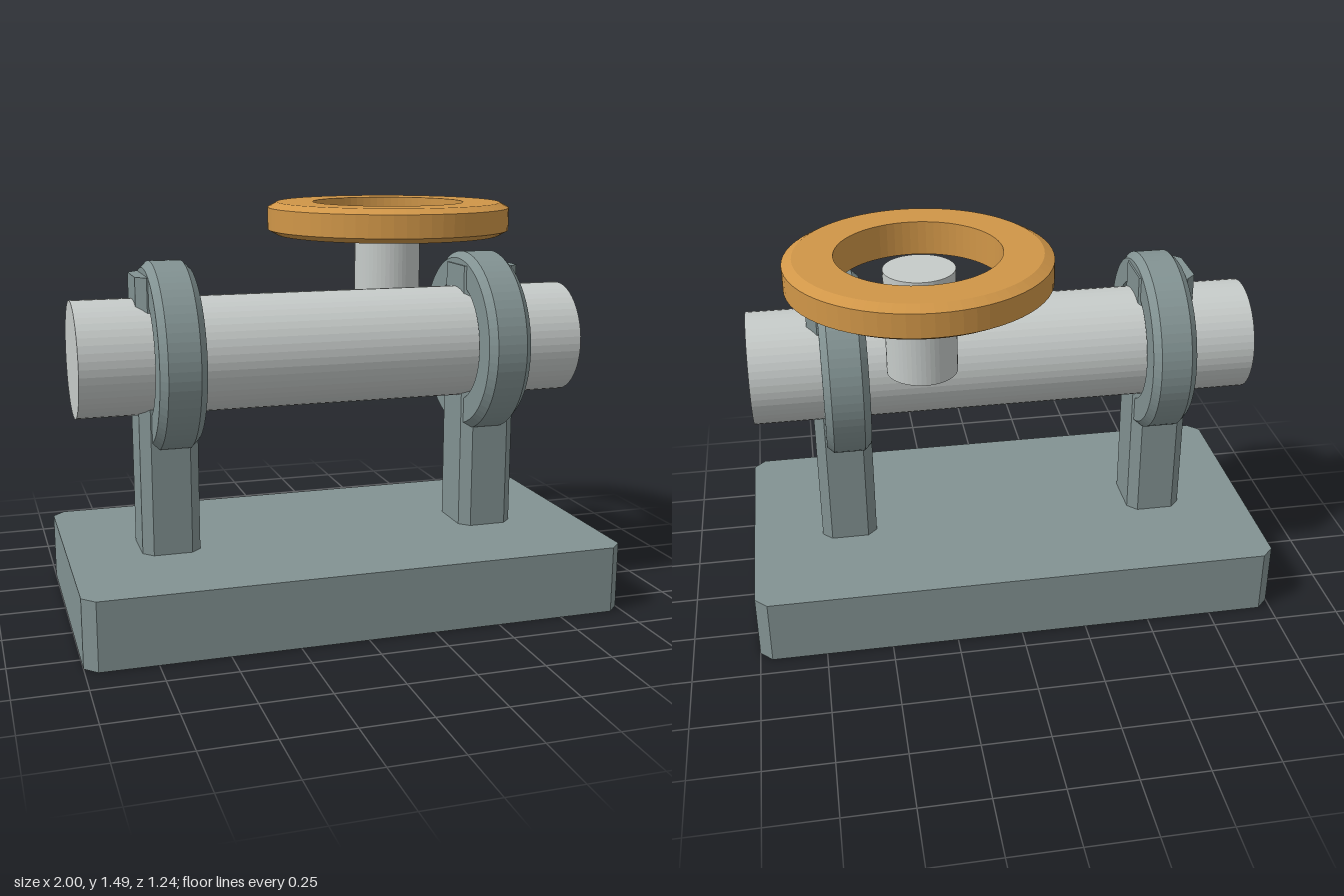
import * as THREE from 'three';

const paint = (color) => new THREE.MeshStandardMaterial({ color, flatShading: true });

// Upright block with its four vertical edges chamfered, standing on y = 0
function chamferedBlock(width, depth, height, c) {
  const w = width / 2, d = depth / 2;
  const outline = [[-w + c, -d], [w - c, -d], [w, -d + c], [w, d - c],
    [w - c, d], [-w + c, d], [-w, d - c], [-w, -d + c]];
  const shape = new THREE.Shape(outline.map(([x, y]) => new THREE.Vector2(x, y)));
  return new THREE.ExtrudeGeometry(shape, { depth: height, bevelEnabled: false }).rotateX(-Math.PI / 2);
}

// Flat ring around y with a straight bore and chamfered outer rims
function chamferedRing(inner, outer, height, cr, ch) {
  const h = height / 2;
  const profile = [[inner, -h], [outer - cr, -h], [outer, -h + ch], [outer, h - ch],
    [outer - cr, h], [inner, h], [inner, -h]];
  return new THREE.LatheGeometry(profile.map(([x, y]) => new THREE.Vector2(x, y)), 64);
}

export function createModel() {
  const model = new THREE.Group();
  model.name = 'valveOnStand';
  const iron = paint(0x829292), steel = paint(0xc6cbc9), brass = paint(0xd09648);

  const add = (name, geometry, material, x, y, z) => {
    const mesh = new THREE.Mesh(geometry, material);
    mesh.name = name;
    mesh.position.set(x, y, z);
    model.add(mesh);
  };

  const axisY = 0.968, axisZ = 0.1;

  // Base plate
  add('base', chamferedBlock(2, 1.045, 0.25, 0.045), iron, 0, 0, axisZ);

  // Posts and the collars around the pipe
  for (const [side, s] of [['left', 1], ['right', -1]]) {
    add(side + 'Post', chamferedBlock(0.214, 0.243, 1.015, 0.036), iron, s * 0.623, 0.25, axisZ);
    add(side + 'Collar', chamferedRing(0.23, 0.344, 0.166, 0.024, 0.026).rotateZ(Math.PI / 2),
      iron, s * 0.606, axisY, axisZ);
  }

  // Horizontal pipe
  add('pipe', new THREE.CylinderGeometry(0.212, 0.212, 1.9, 48).rotateZ(Math.PI / 2), steel, 0, axisY, axisZ);

  // Stem and hand wheel
  add('stem', new THREE.CylinderGeometry(0.129, 0.129, 0.395, 48), steel, 0.326, 1.2325, -0.148);
  add('handWheel', chamferedRing(0.295, 0.473, 0.126, 0.036, 0.02), brass, 0.326, 1.428, -0.148);

  return model;
}
